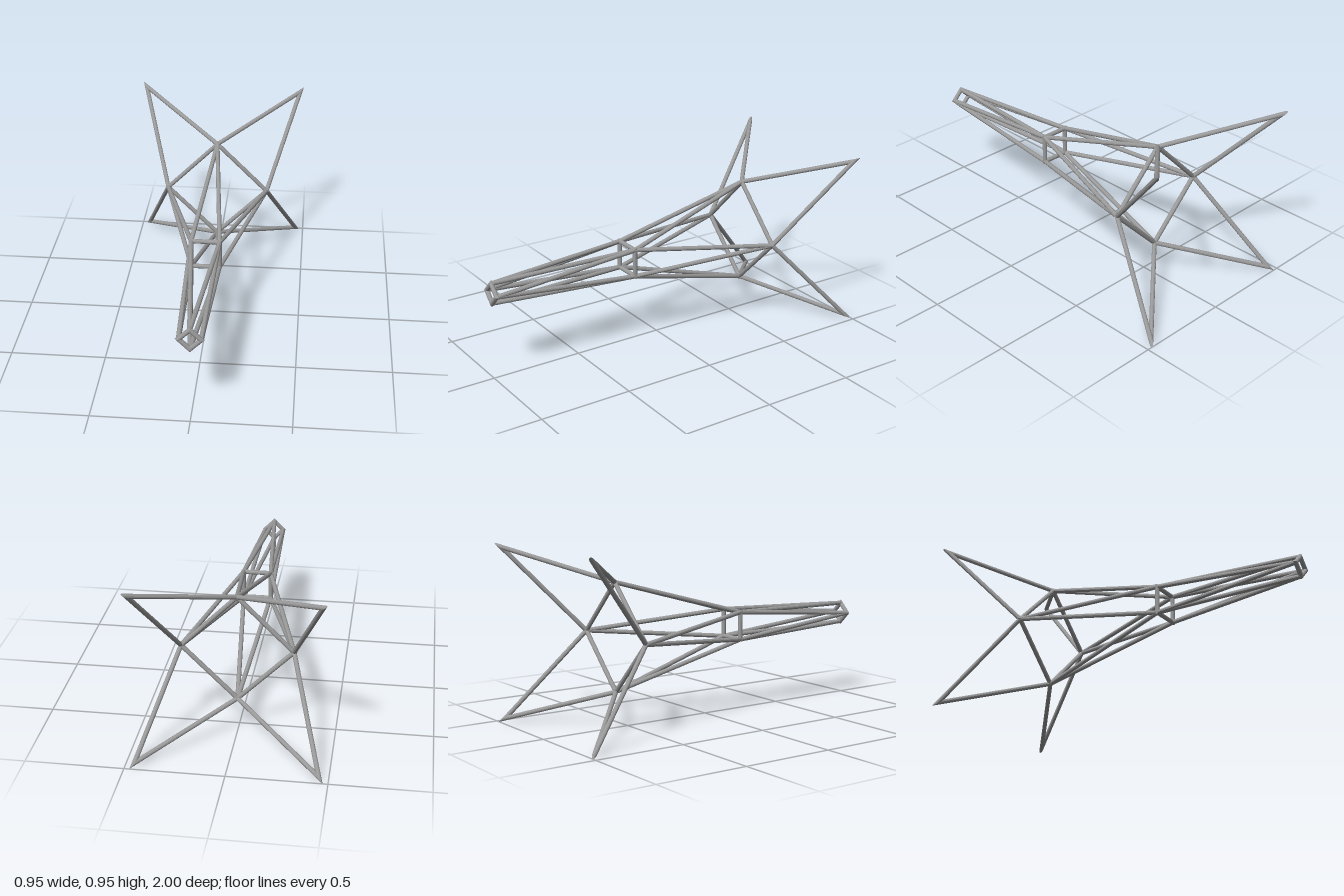
import * as THREE from 'three';

const RADIUS = 0.012;
const SIDES = 12;
const CENTRE_Y = 0.473;
const UP = new THREE.Vector3(0, 1, 0);

// One bar from a to b, each end cut along the plane with the given normal.
function barGeometry(a, b, cutA, cutB) {
  const dir = b.clone().sub(a).normalize();
  const turn = new THREE.Quaternion().setFromUnitVectors(UP, dir);
  const geometry = new THREE.CylinderGeometry(RADIUS, RADIUS, 1, SIDES);
  const pos = geometry.attributes.position;
  const v = new THREE.Vector3();
  for (let i = 0; i < pos.count; i++) {
    const atB = pos.getY(i) > 0;
    const cut = atB ? cutB : cutA;
    v.set(pos.getX(i), 0, pos.getZ(i)).applyQuaternion(turn);
    v.addScaledVector(dir, -cut.dot(v) / cut.dot(dir)).add(atB ? b : a);
    pos.setXYZ(i, v.x, v.y, v.z);
  }
  geometry.computeVertexNormals();
  return geometry;
}

// A chain of bars with mitred corners.
function barChain(name, points, closed, material) {
  const group = new THREE.Group();
  group.name = name;
  const n = points.length;
  const count = closed ? n : n - 1;
  const dirs = [];
  for (let i = 0; i < count; i++) {
    dirs.push(points[(i + 1) % n].clone().sub(points[i]).normalize());
  }
  const mitre = (i, j) => dirs[i].clone().add(dirs[j]).normalize();
  for (let i = 0; i < count; i++) {
    const cutA = closed || i > 0 ? mitre((i + count - 1) % count, i) : dirs[i];
    const cutB = closed || i < count - 1 ? mitre(i, (i + 1) % count) : dirs[i];
    const bar = new THREE.Mesh(barGeometry(points[i], points[(i + 1) % n], cutA, cutB), material);
    bar.name = name + 'Bar';
    group.add(bar);
  }
  return group;
}

// Four nodes around the long axis, starting at the given angle.
function ringNodes(radius, z, startAngle) {
  return [0, 1, 2, 3].map((i) => {
    const angle = startAngle + (i * Math.PI) / 2;
    return new THREE.Vector3(Math.cos(angle) * radius, CENTRE_Y + Math.sin(angle) * radius, z);
  });
}

export function createModel() {
  const model = new THREE.Group();
  model.name = 'spaceFrame';
  const grey = new THREE.MeshStandardMaterial({ color: 0x999999, flatShading: true });
  grey.name = 'steelGrey';

  const nose = ringNodes(0.054, 0.988, 0);
  const waist = ringNodes(0.075 * Math.SQRT2, 0.185, Math.PI / 4);
  const tail = ringNodes(0.285, -0.57, 0);
  const tips = ringNodes(0.453 * Math.SQRT2, -0.974, Math.PI / 4);

  // Closed square rings
  model.add(barChain('noseRing', nose, true, grey));
  model.add(barChain('waistRing', waist, true, grey));
  model.add(barChain('tailRing', tail, true, grey));

  for (let i = 0; i < 4; i++) {
    const next = (i + 1) % 4;
    // Each waist corner braces to two nose nodes and two tail nodes
    model.add(barChain('noseBrace', [nose[i], waist[i], nose[next]], false, grey));
    model.add(barChain('tailBrace', [tail[i], waist[i], tail[next]], false, grey));
    // Pointed fin behind each side of the tail ring
    model.add(barChain('tailFin', [tail[i], tips[i], tail[next]], false, grey));
  }

  // The sharp mitre at each brace corner is trimmed to plain bar ends
  for (const group of model.children) {
    if (!group.name.endsWith('Brace')) continue;
    const isNose = group.name === 'noseBrace';
    const i = model.children.filter((g) => g.name === group.name).indexOf(group);
    const ends = isNose ? nose : tail;
    [ends[i], ends[(i + 1) % 4]].forEach((end, k) => {
      const dir = end.clone().sub(waist[i]).normalize();
      group.children[k].geometry = barGeometry(waist[i], end, dir, dir);
    });
  }
  return model;
}
